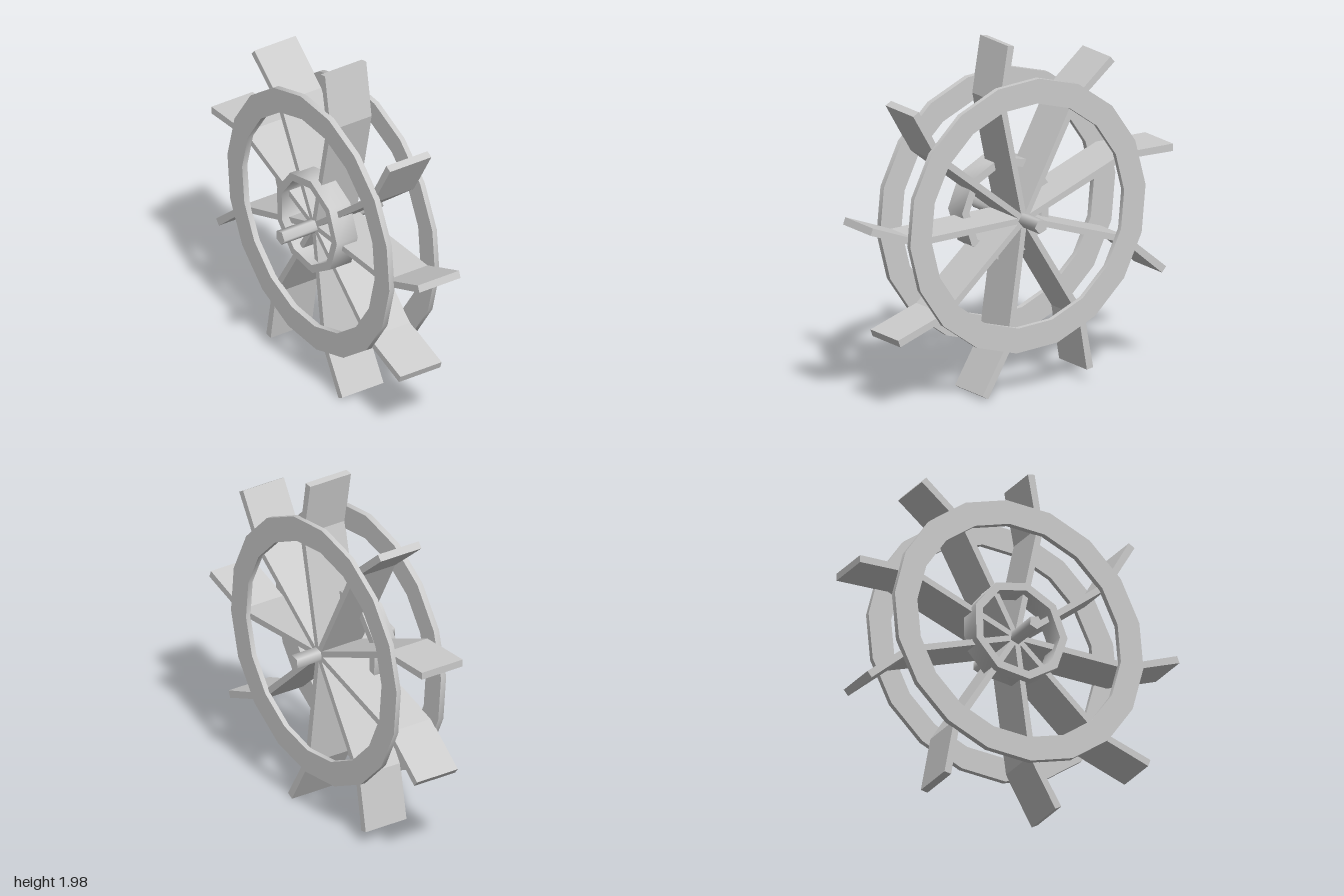
import * as THREE from 'three';
import { toCreasedNormals } from 'three/addons/utils/BufferGeometryUtils.js';

const material = new THREE.MeshStandardMaterial({ color: 0xcccccc });
const deg = Math.PI / 180;

// Points of a regular polygon, first corner at the given angle
function polygon(radius, sides, phase) {
  return Array.from({ length: sides }, (_, i) => {
    const a = phase * deg + (i / sides) * Math.PI * 2;
    return new THREE.Vector2(radius * Math.cos(a), radius * Math.sin(a));
  });
}

// Extrude an outline between two depths
function slab(shape, back, front) {
  const geometry = new THREE.ExtrudeGeometry(shape, { depth: front - back, bevelEnabled: false });
  return geometry.translate(0, 0, back);
}

// Faceted ring, smooth around and sharp at its rims
function ring(name, outer, inner, sides, phase, back, front) {
  const shape = new THREE.Shape(polygon(outer, sides, phase));
  shape.holes.push(new THREE.Path(polygon(inner, sides, phase)));
  const mesh = new THREE.Mesh(toCreasedNormals(slab(shape, back, front), 1.4), material);
  mesh.name = name;
  mesh.position.set(-0.03, 1.025, 0);
  return mesh;
}

// Outline of one paddle: a thin spoke with a thicker blade bent by 22 degrees
function paddleShape() {
  const bend = 22 * deg, reach = 0.70, length = 0.32, thin = 0.016, thick = 0.021;
  const tip = new THREE.Vector2(reach + length * Math.cos(bend), length * Math.sin(bend));
  const side = new THREE.Vector2(-Math.sin(bend), Math.cos(bend)).multiplyScalar(thick);
  const mitre = new THREE.Vector2(-Math.sin(bend / 2), Math.cos(bend / 2)).multiplyScalar(0.019);
  return new THREE.Shape([
    new THREE.Vector2(0, -thin),
    new THREE.Vector2(reach - mitre.x, -mitre.y),
    tip.clone().sub(side),
    tip.clone().add(side),
    new THREE.Vector2(reach + mitre.x, mitre.y),
    new THREE.Vector2(0, thin),
  ]);
}

export function createModel() {
  const model = new THREE.Group();
  model.name = 'paddleWheel';

  // Rims either side of the paddles
  model.add(ring('frontRim', 0.772, 0.632, 18, -4.5, 0.105, 0.14));
  model.add(ring('backRim', 0.772, 0.632, 18, -4.5, -0.195, -0.165));

  // Hub ring on the front half
  model.add(ring('hubRing', 0.292, 0.245, 9, 1.5, 0.015, 0.155));

  // Nine bent paddles
  const paddleGeometry = slab(paddleShape(), -0.167, 0.108);
  const paddles = new THREE.Group();
  paddles.name = 'paddles';
  for (let i = 0; i < 9; i++) {
    const paddle = new THREE.Mesh(paddleGeometry, material);
    paddle.name = 'paddle';
    paddle.rotation.z = (78 - 40 * i) * deg;
    paddles.add(paddle);
  }
  paddles.position.set(-0.028, 0.997, 0);
  model.add(paddles);

  // Five-sided axle
  const axleShape = new THREE.Shape(polygon(0.042, 5, -4));
  const axle = new THREE.Mesh(toCreasedNormals(slab(axleShape, -0.33, 0.33), 1.4), material);
  axle.name = 'axle';
  axle.position.set(-0.028, 0.997, 0);
  model.add(axle);

  return model;
}
